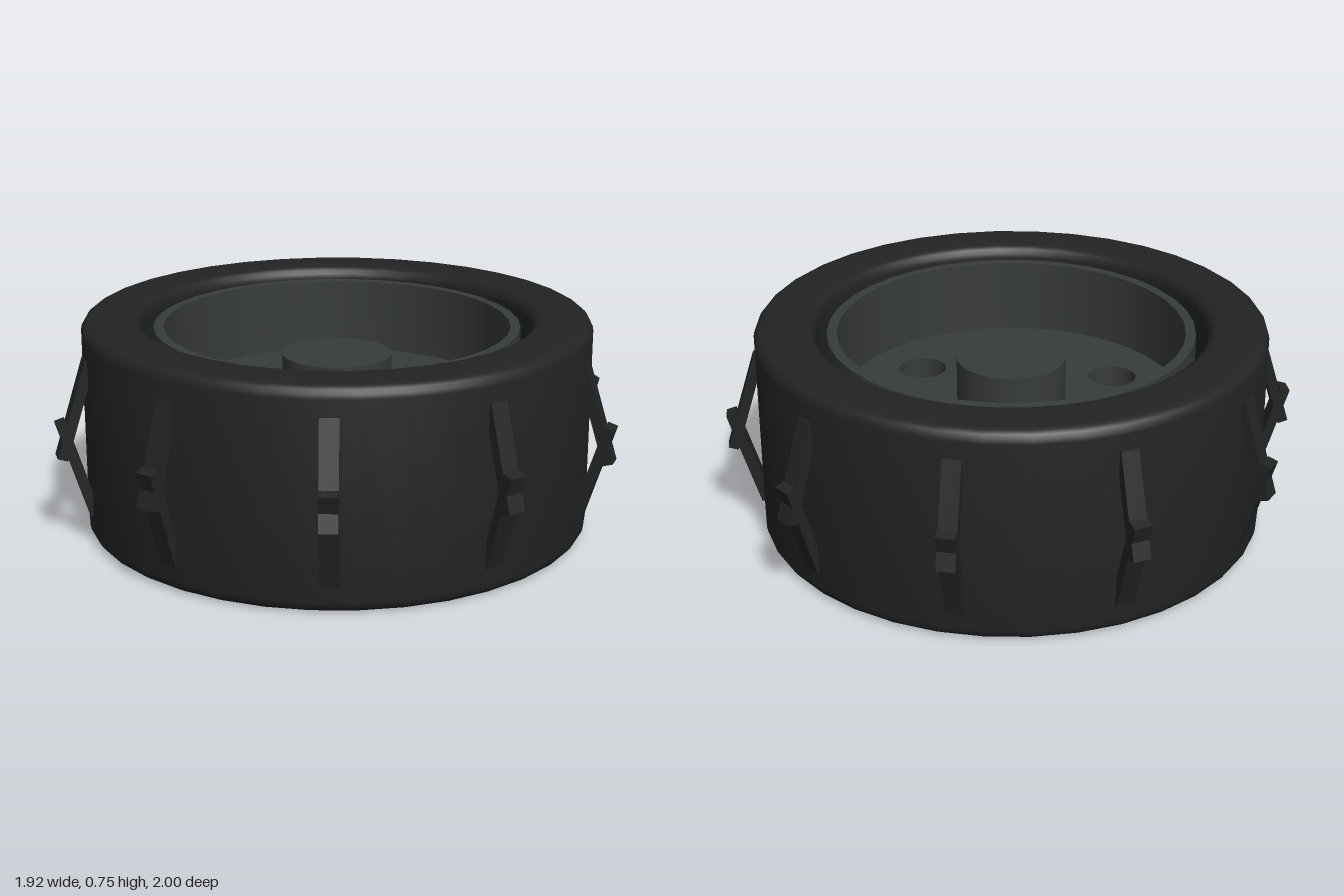
import * as THREE from 'three';
import { toCreasedNormals } from 'three/addons/utils/BufferGeometryUtils.js';

const SIDES = 36;
const HEIGHT = 0.75;
const MID = HEIGHT / 2;

// Closed ring with a rectangular section and rounded corners
function ring(inner, outer, bottom, top, fillet) {
  const corners = [[outer, bottom, -1, 1], [outer, top, -1, -1], [inner, top, 1, -1], [inner, bottom, 1, 1]];
  const points = [];
  corners.forEach(([r, y, sr, sy], i) => {
    if (!fillet) {
      points.push(new THREE.Vector2(r, y));
      return;
    }
    for (let k = 0; k <= 4; k++) {
      const a = (i - 1 + k / 4) * Math.PI / 2;
      points.push(new THREE.Vector2(
        r + fillet * (sr + Math.cos(a)),
        y + fillet * (sy + Math.sin(a))));
    }
  });
  points.push(points[0].clone());
  return toCreasedNormals(new THREE.LatheGeometry(points, SIDES), 0.6);
}

export function createModel() {
  const model = new THREE.Group();
  model.name = 'wheel';
  const rubber = new THREE.MeshStandardMaterial({ color: 0x222424 });
  const plastic = new THREE.MeshStandardMaterial({ color: 0x383b3b });

  const add = (name, geometry, material, parent = model) => {
    const mesh = new THREE.Mesh(geometry, material);
    mesh.name = name;
    parent.add(mesh);
    return mesh;
  };

  // Tyre
  add('tyre', ring(0.68, 0.89, 0, HEIGHT, 0.04), rubber);

  // Rim barrel, standing clear of the tyre
  add('rimBarrel', ring(0.605, 0.64, 0.035, HEIGHT - 0.035, 0), plastic);

  // Web disc with six round holes
  const web = new THREE.Shape().absarc(0, 0, 0.61, 0, Math.PI * 2);
  for (let i = 0; i < 6; i++) {
    const a = i * Math.PI / 3;
    web.holes.push(new THREE.Path().absarc(0.4 * Math.cos(a), 0.4 * Math.sin(a), 0.085, 0, Math.PI * 2, true));
  }
  const webGeometry = new THREE.ExtrudeGeometry(web, { depth: 0.15, bevelEnabled: false, curveSegments: SIDES });
  webGeometry.rotateX(-Math.PI / 2).translate(0, MID - 0.075, 0);
  add('webDisc', toCreasedNormals(webGeometry, 0.6), plastic);

  // Hub
  add('hub', new THREE.CylinderGeometry(0.192, 0.192, 0.46, SIDES), plastic).position.y = MID;

  // Ten treads, each a pair of slanted bars crossing outside the tyre
  for (let i = 0; i < 10; i++) {
    const tread = new THREE.Group();
    tread.name = 'tread';
    tread.rotation.y = i * Math.PI / 5;
    for (const side of [1, -1]) {
      const bar = add('treadBar', new THREE.BoxGeometry(0.063, 0.355, 0.036), rubber, tread);
      bar.position.set(0, MID + side * 0.105, 0.93);
      bar.rotation.x = -side * 0.3;
    }
    model.add(tread);
  }
  return model;
}
